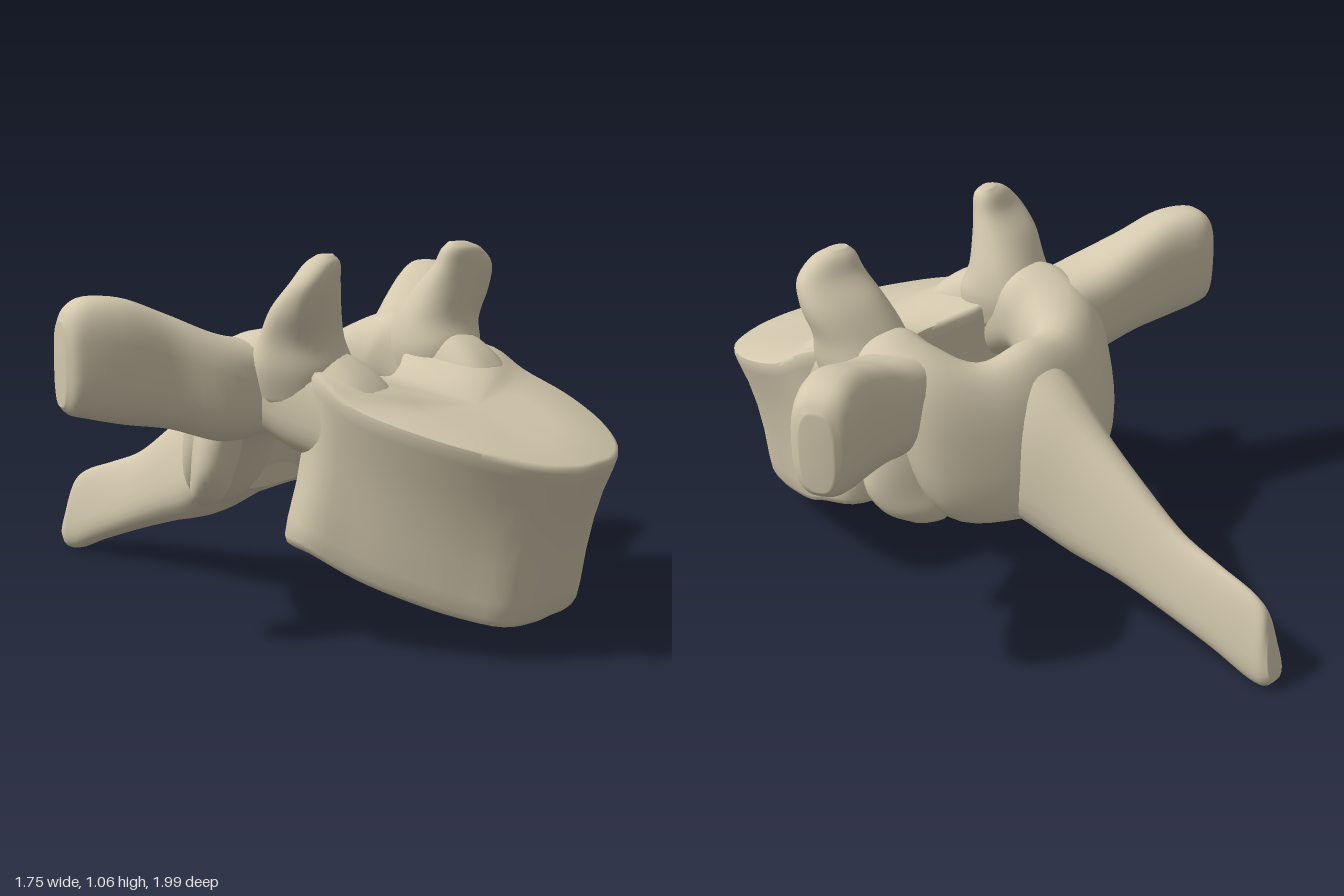
import * as THREE from 'three';
import { toCreasedNormals } from 'three/addons/utils/BufferGeometryUtils.js';

const V = (x, y, z) => new THREE.Vector3(x, y, z);
const SIDES = 32;

// Rounded cross-section: centre c, half axes u and v, narrowed towards +v by taper
function ring(c, u, v, taper = 0, power = 2.5) {
  const pts = [];
  for (let i = 0; i < SIDES; i++) {
    const a = (i / SIDES) * Math.PI * 2;
    const soft = (k) => Math.sign(k) * Math.pow(Math.abs(k), 2 / power);
    const q = soft(Math.sin(a));
    const p = soft(Math.cos(a)) * (1 - taper * (q + 1) / 2);
    pts.push(V(...c).addScaledVector(V(...u), p).addScaledVector(V(...v), q));
  }
  return pts;
}

// Add smooth in-between rings
function refine(rings, steps) {
  const curves = rings[0].map((_, j) => new THREE.CatmullRomCurve3(rings.map((r) => r[j])));
  const out = [];
  const n = (rings.length - 1) * steps;
  for (let i = 0; i <= n; i++) out.push(curves.map((c) => c.getPoint(i / n)));
  return out;
}

// Closed skin over rings, with the faces always turned outwards
function skin(rings) {
  const n = rings[0].length;
  const pts = rings.flat();
  const index = [];
  for (let i = 0; i < rings.length - 1; i++) {
    for (let j = 0; j < n; j++) {
      const a = i * n + j, b = i * n + (j + 1) % n;
      index.push(a, b, b + n, a, b + n, a + n);
    }
  }
  [0, rings.length - 1].forEach((r) => {
    const mid = rings[r].reduce((s, p) => s.add(p), V(0, 0, 0)).divideScalar(n);
    const m = pts.push(mid) - 1;
    for (let j = 0; j < n; j++) {
      const a = r * n + j, b = r * n + (j + 1) % n;
      if (r === 0) index.push(m, b, a);
      else index.push(m, a, b);
    }
  });
  let volume = 0;
  for (let i = 0; i < index.length; i += 3) {
    volume += pts[index[i]].dot(V(0, 0, 0).crossVectors(pts[index[i + 1]], pts[index[i + 2]]));
  }
  if (volume < 0) index.reverse();
  const g = new THREE.BufferGeometry().setFromPoints(pts);
  g.setIndex(index);
  g.computeVertexNormals();
  return g;
}

// Mirror a half outline running from front middle to back middle
function outline(half) {
  const pts = half.map((p) => V(...p));
  const other = half.slice(1, -1).reverse().map(([x, y, z]) => V(-x, y, z));
  return new THREE.CatmullRomCurve3([...pts, ...other], true).getPoints(80).slice(0, 80);
}

function bodyGeometry() {
  const top = outline([
    [0, 0.53, 1.0], [0.08, 0.53, 0.995], [0.2, 0.545, 0.945], [0.315, 0.585, 0.83],
    [0.4, 0.635, 0.67], [0.435, 0.69, 0.5], [0.425, 0.75, 0.4], [0.35, 0.775, 0.29],
    [0.22, 0.75, 0.23], [0.1, 0.715, 0.28], [0, 0.7, 0.31]]);
  const bottom = outline([
    [0, 0.085, 0.86], [0.08, 0.085, 0.86], [0.18, 0.088, 0.83], [0.245, 0.11, 0.72],
    [0.3, 0.145, 0.6], [0.365, 0.2, 0.46], [0.425, 0.27, 0.34], [0.39, 0.275, 0.25],
    [0.24, 0.26, 0.225], [0.1, 0.25, 0.27], [0, 0.24, 0.3]]);
  // height fraction and scale about the core: flat ends, rounded rims and a slight waist
  const levels = [[0, 0.5], [0, 0.95], [0.015, 0.985], [0.05, 1], [0.15, 0.995], [0.35, 0.97],
    [0.55, 0.96], [0.75, 0.97], [0.9, 0.995], [0.96, 1], [0.988, 0.99], [1, 0.96], [1, 0.5]];
  const rings = levels.map(([t, s]) => {
    const core = V(0, 0.165 + 0.465 * t, 0.55 + 0.1 * t);
    return bottom.map((p, j) => core.clone().lerp(p.clone().lerp(top[j], t), s));
  });
  return toCreasedNormals(skin(rings), 0.9);
}

export function createModel() {
  const model = new THREE.Group();
  model.name = 'vertebra';
  const bone = new THREE.MeshStandardMaterial({ color: 0xd4c9ae });
  bone.name = 'bone';
  const add = (name, geometry) => {
    const mesh = new THREE.Mesh(geometry, bone);
    mesh.name = name;
    model.add(mesh);
  };

  add('vertebralBody', bodyGeometry());

  // Arch: pedicle, lamina, then mirrored to the other side. [centre, u, v]
  const half = [
    [[0.28, 0.5, 0.58], [0.09, 0, 0], [0, 0.08, 0]],
    [[0.29, 0.595, 0.47], [0.115, 0, 0], [0, 0.135, 0]],
    [[0.3, 0.645, 0.37], [0.115, 0, 0], [0, 0.15, 0]],
    [[0.31, 0.67, 0.26], [0.115, 0, 0], [0, 0.145, 0]],
    [[0.315, 0.71, 0.14], [0.13, 0, -0.01], [0, 0.14, 0.01]],
    [[0.285, 0.58, -0.015], [0.125, 0, -0.07], [0, 0.24, 0.05]],
    [[0.16, 0.53, -0.115], [0.045, 0, -0.085], [0, 0.225, 0.06]],
  ];
  const mirrored = half.slice().reverse().map((s) => s.map(([x, y, z]) => [-x, y, z]));
  const middle = [[0, 0.53, -0.14], [0, 0, -0.09], [0, 0.24, 0.06]];
  add('neuralArch', skin(refine([...half, middle, ...mirrored].map((s) => ring(...s)), 5)));

  // Rear spine: [top z, top y, bottom z, bottom y, half width]
  const spine = [
    [-0.06, 0.76, -0.1, 0.33, 0.33], [-0.2, 0.69, -0.2, 0.285, 0.26],
    [-0.35, 0.58, -0.34, 0.205, 0.175], [-0.5, 0.47, -0.5, 0.16, 0.12],
    [-0.65, 0.365, -0.67, 0.105, 0.09], [-0.78, 0.315, -0.82, 0.05, 0.07],
    [-0.9, 0.272, -0.93, 0.005, 0.06], [-0.945, 0.235, -0.975, 0.005, 0.056],
    [-0.968, 0.17, -0.998, 0.03, 0.04],
  ];
  add('rearSpine', skin(refine(spine.map(([tz, ty, bz, by, w]) => ring(
    [0, (ty + by) / 2, (tz + bz) / 2], [w, 0, 0],
    [0, (ty - by) / 2, (tz - bz) / 2], 0.55)), 5)));

  for (const [side, s] of [['left', 1], ['right', -1]]) {
    const limb = (name, sections, power) => add(side + name, skin(refine(
      sections.map(([c, u, v]) => ring([s * c[0], c[1], c[2]], [s * u[0], u[1], u[2]],
        [s * v[0], v[1], v[2]], 0, power)), 5)));

    // Side wing: [x, y, z, half depth, half height]
    limb('SideWing', [
      [0.28, 0.69, 0.1, 0.14, 0.12], [0.45, 0.695, 0.07, 0.135, 0.145],
      [0.59, 0.75, 0, 0.11, 0.155], [0.71, 0.785, -0.05, 0.1, 0.168],
      [0.8, 0.798, -0.095, 0.09, 0.158], [0.838, 0.792, -0.11, 0.075, 0.14],
      [0.858, 0.785, -0.118, 0.045, 0.11],
    ].map(([x, y, z, d, h]) => [[x, y, z], [0.43 * d, 0, 0.9 * d], [0, h, 0]]), 2.8);

    // Upper joint: a thinning plate that leans forward
    limb('UpperJoint', [
      [0.31, 0.66, 0.24, 0.11, 0.14], [0.315, 0.75, 0.25, 0.13, 0.14],
      [0.325, 0.83, 0.26, 0.127, 0.105], [0.35, 0.92, 0.295, 0.12, 0.08],
      [0.355, 0.99, 0.33, 0.1, 0.053], [0.335, 1.04, 0.338, 0.065, 0.038],
      [0.32, 1.06, 0.335, 0.03, 0.018],
    ].map(([x, y, z, w, d]) => [[x, y, z], [w, 0, 0.25 * w], [-0.25 * d, 0, d]]), 2.3);

    // Lower joint: a plate under the arch that ends in a spur
    limb('LowerJoint', [
      [0.35, 0.64, 0.02, 0.12, 0.07], [0.38, 0.53, 0.01, 0.12, 0.06],
      [0.39, 0.45, 0, 0.115, 0.053], [0.385, 0.385, -0.02, 0.09, 0.045],
      [0.37, 0.345, -0.04, 0.045, 0.025],
    ].map(([x, y, z, w, d]) => [[x, y, z], [w, 0, 0.6 * w], [-0.5 * d, 0, d]]), 2.3);
  }
  return model;
}
